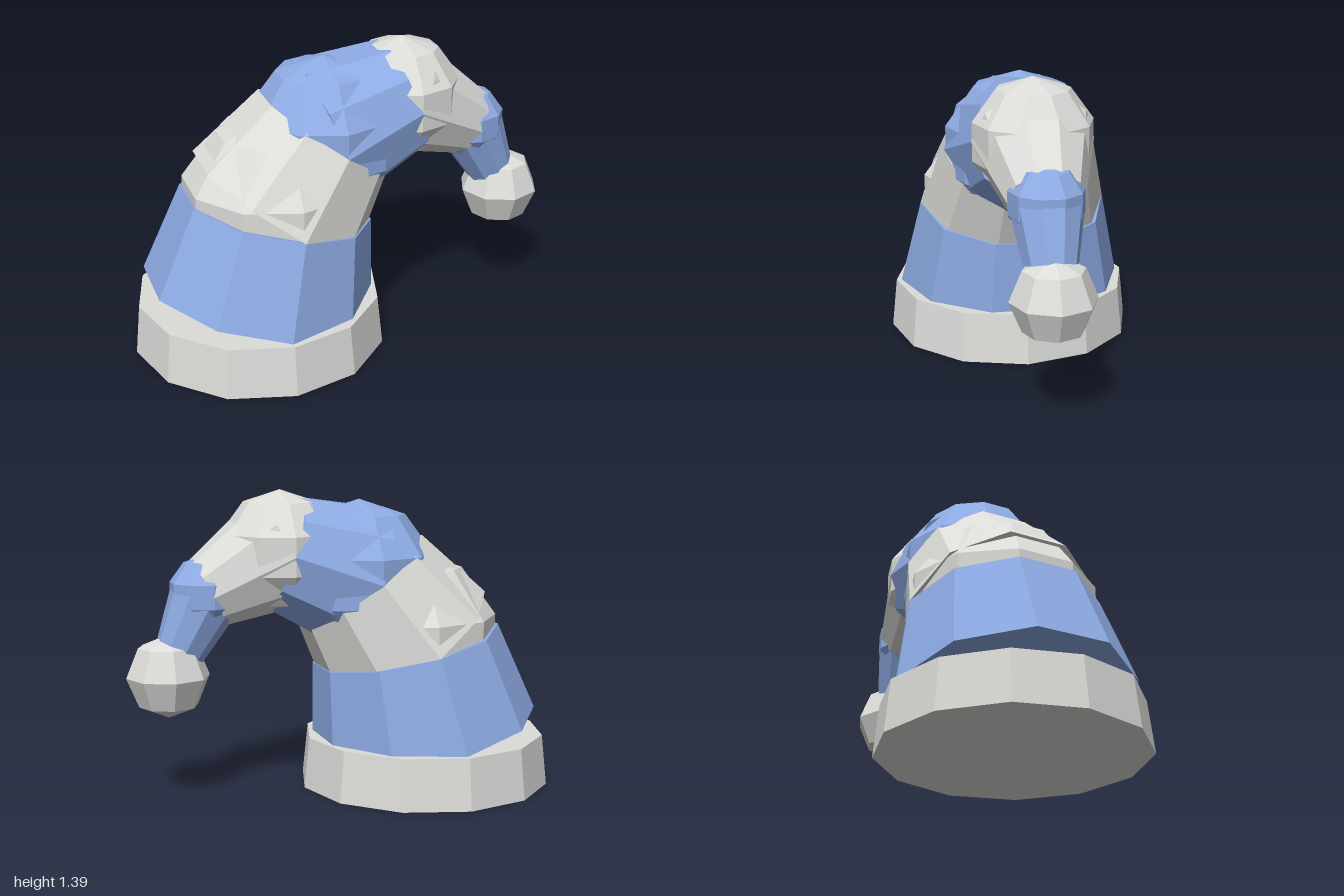
import * as THREE from 'three';

export function createModel() {
  const model = new THREE.Group();
  const blue = new THREE.MeshStandardMaterial({ color: 0x8eabe4, flatShading: true });
  blue.name = 'soft blue cloth';
  const white = new THREE.MeshStandardMaterial({ color: 0xdcdcd9, flatShading: true });
  white.name = 'off white wool';

  const add = (name, geometry, material, x, y) => {
    const mesh = new THREE.Mesh(geometry, material);
    mesh.name = name;
    mesh.position.set(x, y, 0);
    model.add(mesh);
    return mesh;
  };

  // Brim band around the opening
  add('brim', new THREE.CylinderGeometry(0.565, 0.59, 0.235, 12), white, -0.41, 0.1175);

  // Joints of the drooping cone: x, y, cloth radius, radius of the rounded joint
  const joints = [
    [-0.41, 0.235, 0.54, 0],
    [-0.315, 0.66, 0.445, 0.445],
    [-0.085, 0.98, 0.35, 0.36],
    [0.29, 1.11, 0.27, 0.28],
    [0.63, 0.935, 0.165, 0.172],
    [0.81, 0.57, 0.09, 0],
  ];

  // Tapered cloth sections in alternating colours, each with a ball at its lower joint
  for (let i = 0; i < joints.length - 1; i++) {
    const [x0, y0, r0, ball] = joints[i];
    const [x1, y1, r1] = joints[i + 1];
    const material = i % 2 ? white : blue;
    const length = Math.hypot(x1 - x0, y1 - y0);
    const section = add(`clothSection${i + 1}`, new THREE.CylinderGeometry(r1, r0, length, 10),
      material, (x0 + x1) / 2, (y0 + y1) / 2);
    section.rotation.z = Math.atan2(y1 - y0, x1 - x0) - Math.PI / 2;
    if (ball) {
      const joint = new THREE.SphereGeometry(ball, 10, 5).rotateY(Math.PI / 2);
      add(`clothJoint${i + 1}`, joint, material, x0, y0);
    }
  }

  // Pompom at the tip
  add('pompom', new THREE.SphereGeometry(0.188, 8, 4), white, 0.81, 0.57);

  return model;
}
